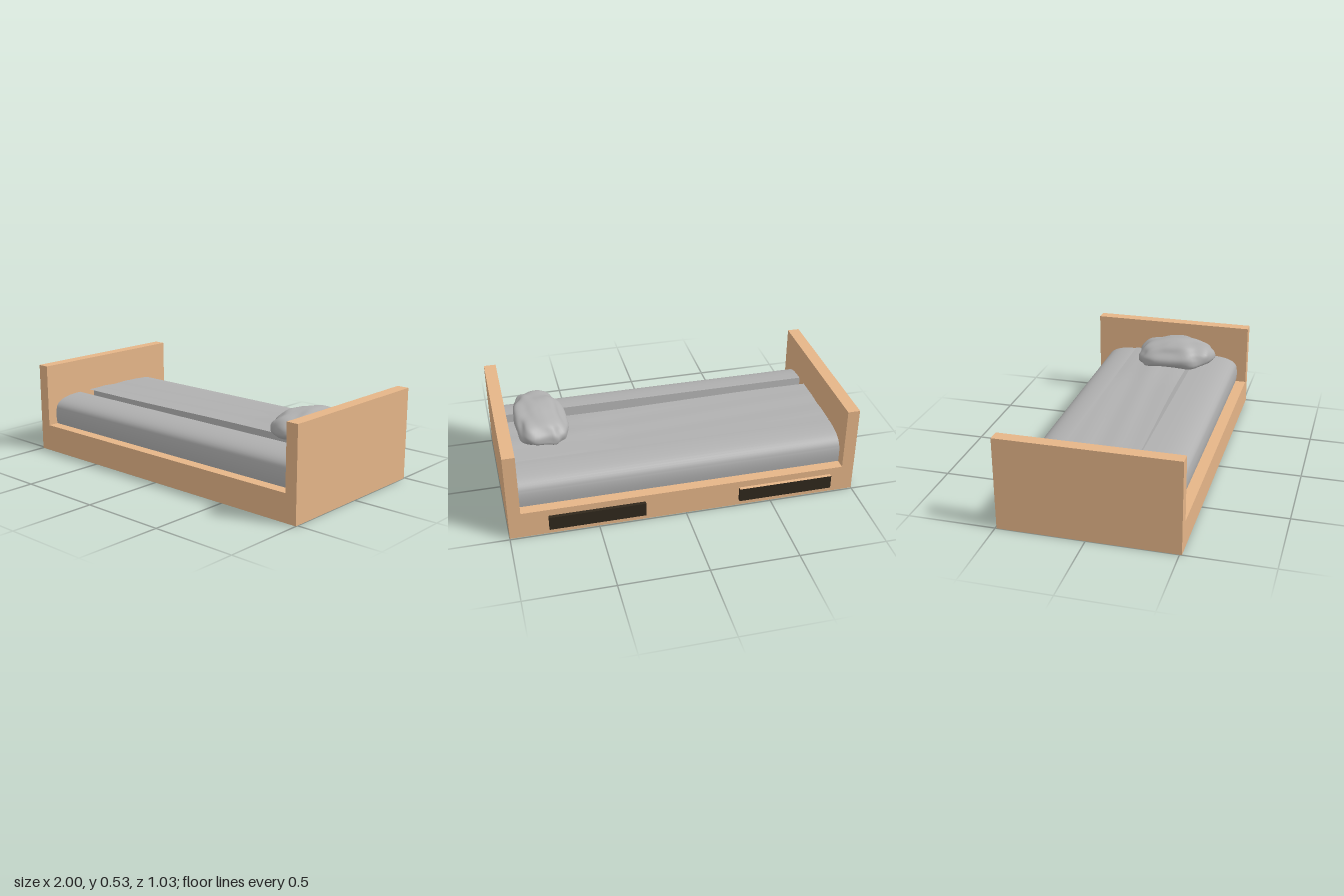
import * as THREE from 'three';
import { toCreasedNormals, mergeVertices } from 'three/addons/utils/BufferGeometryUtils.js';

const material = (name, color, extra = {}) => {
  const m = new THREE.MeshStandardMaterial({ color, ...extra });
  m.name = name;
  return m;
};

export function createModel() {
  const group = new THREE.Group();
  const wood = material('wood', 0xe5b588);
  const linen = material('linen', 0xb0b0b0, { side: THREE.DoubleSide });
  const dark = material('darkWood', 0x30281c);

  const add = (name, geometry, mat) => {
    const mesh = new THREE.Mesh(geometry, mat);
    mesh.name = name;
    group.add(mesh);
    return mesh;
  };
  // Box given by its lower and upper corners
  const box = (name, [x0, y0, z0], [x1, y1, z1], mat) => {
    const g = new THREE.BoxGeometry(x1 - x0, y1 - y0, z1 - z0);
    g.translate((x0 + x1) / 2, (y0 + y1) / 2, (z0 + z1) / 2);
    return add(name, g, mat);
  };

  // Frame: low base between two tall end boards
  box('base', [-0.93, 0, -0.492], [0.93, 0.16, 0.513], wood);
  box('footboard', [-1, 0, -0.492], [-0.93, 0.532, 0.513], wood);
  box('headboard', [0.93, 0, -0.492], [1, 0.532, 0.513], wood);

  // Back panels; the one at the foot end has a light top edge
  box('footPanel', [-0.86, 0.038, -0.513], [-0.31, 0.12, -0.492],
    [dark, dark, wood, dark, dark, dark]);
  box('headPanel', [0.235, 0.038, -0.513], [0.78, 0.12, -0.492], dark);

  // Mattress: rounded cross-section with a deep groove beside the blanket
  const s = new THREE.Shape();
  s.moveTo(-0.447, 0.155);
  s.bezierCurveTo(-0.458, 0.2, -0.455, 0.24, -0.447, 0.27);
  s.bezierCurveTo(-0.43, 0.31, -0.36, 0.327, -0.258, 0.327);
  s.lineTo(-0.25, 0.25);
  s.lineTo(-0.15, 0.25);
  s.lineTo(-0.14, 0.322);
  s.lineTo(0.2, 0.322);
  s.lineTo(0.25, 0.327);
  s.bezierCurveTo(0.36, 0.327, 0.41, 0.3, 0.425, 0.26);
  s.bezierCurveTo(0.435, 0.23, 0.435, 0.2, 0.43, 0.155);
  s.closePath();
  const mattress = new THREE.ExtrudeGeometry(s, { depth: 1.86, bevelEnabled: false, curveSegments: 10 });
  mattress.translate(0, 0, -0.93).rotateY(Math.PI / 2);
  add('mattress', toCreasedNormals(mattress, 0.6), linen);

  // Blanket: thin sheet with gentle folds that rise towards the pillow
  const blanket = new THREE.PlaneGeometry(1.86, 1, 40, 20).rotateX(-Math.PI / 2);
  const b = blanket.attributes.position;
  for (let i = 0; i < b.count; i++) {
    const x = b.getX(i);
    const t = b.getZ(i) + 0.5;
    const front = 0.172 + 0.01 * Math.cos(3 * x + 2);
    const z = -0.24 + t * (front + 0.24);
    const bulge = Math.sin(Math.PI * t);
    const rise = 0.012 * THREE.MathUtils.smoothstep(x, 0.25, 0.6);
    const fold = 0.0025 * Math.sin(14 * t + 2 * x);
    b.setXYZ(i, x, 0.329 + (rise + fold) * bulge, z);
  }
  blanket.computeVertexNormals();
  add('blanket', blanket, linen);

  // Pillow: lumpy ellipsoid, humped in the middle, with a squarer, thinner back end
  let pillow = new THREE.SphereGeometry(1, 56, 40);
  pillow.deleteAttribute('uv');
  pillow.deleteAttribute('normal');
  pillow = mergeVertices(pillow, 1e-4);
  const p = pillow.attributes.position;
  const v = new THREE.Vector3();
  const power = (a, e) => Math.sign(a) * Math.abs(a) ** e;
  for (let i = 0; i < p.count; i++) {
    v.fromBufferAttribute(p, i);
    const back = Math.max(0, -v.z);
    const lump = 1 + 0.05 * Math.sin(5 * v.x + 4 * v.z) * Math.cos(4 * v.y - 3 * v.z)
      + 0.03 * Math.sin(9 * v.z + 2 * v.x) + 0.02 * Math.sin(11 * v.x - 6 * v.z);
    const taper = 1 - 0.1 * Math.max(0, v.z);
    const hump = v.y > 0 ? 0.092 * (1 - 0.3 * back) * (1 - 0.25 * Math.max(0, -v.x)) : 0.064;
    p.setXYZ(i,
      0.735 + 0.152 * power(v.x, 0.72) * lump * taper,
      0.395 + hump * power(v.y, 0.85) * lump + 0.012 * v.x - 0.012 * back,
      0.075 + 0.242 * power(v.z, v.z < 0 ? 0.6 : 0.8) * lump);
  }
  pillow.computeVertexNormals();
  add('pillow', pillow, linen);

  return group;
}
